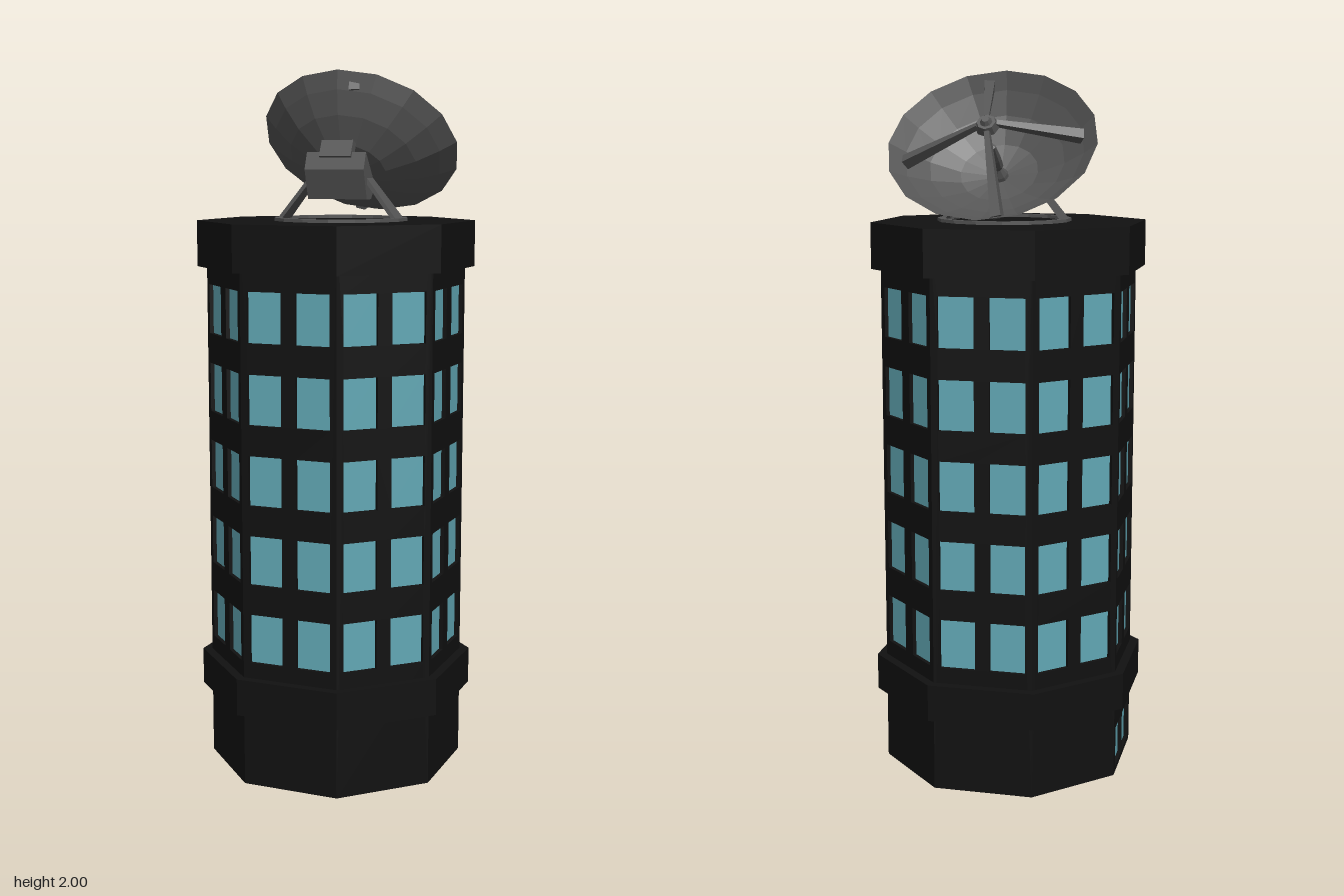
import * as THREE from 'three';

const material = (color, side = THREE.FrontSide) =>
  new THREE.MeshStandardMaterial({ color, flatShading: true, side });
const wallMat = material(0x111111);
const glassMat = material(0x62a8b5);
const metalMat = material(0x555555);
const bowlMat = material(0x555555, THREE.DoubleSide);

const APOTHEM = 0.34, RECESS = 0.012, ROOF = 1.58;
const HALF_SIDE = APOTHEM * Math.tan(Math.PI / 8);

function add(parent, name, geometry, mat, x = 0, y = 0, z = 0) {
  const mesh = new THREE.Mesh(geometry, mat);
  mesh.name = name;
  mesh.position.set(x, y, z);
  parent.add(mesh);
  return mesh;
}

// Eight-sided block with a flat side to the front, given by apothem and height range
function octagon(parent, name, apothem, y0, y1) {
  const r = apothem / Math.cos(Math.PI / 8);
  const geo = new THREE.CylinderGeometry(r, r, y1 - y0, 8, 1, false, Math.PI / 8);
  return add(parent, name, geo, wallMat, 0, (y0 + y1) / 2, 0);
}

function rectangle(path, x0, y0, x1, y1) {
  path.moveTo(x0, y0);
  path.lineTo(x1, y0);
  path.lineTo(x1, y1);
  path.lineTo(x0, y1);
  path.closePath();
  return path;
}

// One side of the tower: a wall slab with openings and recessed panes
function towerSide(hasDoor) {
  const side = new THREE.Group();
  side.name = 'towerSide';
  const openings = [];
  for (let floor = 0; floor < 5; floor++) {
    const y = 0.36 + floor * 0.225;
    openings.push(['window', -0.121, y, -0.021, y + 0.14], ['window', 0.021, y, 0.121, y + 0.14]);
  }
  if (hasDoor) openings.push(['door', -0.115, 0.015, -0.002, 0.135], ['door', 0.002, 0.015, 0.115, 0.135]);

  const shape = rectangle(new THREE.Shape(), -HALF_SIDE, 0, HALF_SIDE, ROOF - 0.01);
  for (const [name, x0, y0, x1, y1] of openings) {
    shape.holes.push(rectangle(new THREE.Path(), x0, y0, x1, y1));
    add(side, name, new THREE.PlaneGeometry(x1 - x0, y1 - y0), glassMat,
      (x0 + x1) / 2, (y0 + y1) / 2, APOTHEM - RECESS + 0.001);
  }
  const slab = new THREE.ExtrudeGeometry(shape, { depth: RECESS, bevelEnabled: false });
  add(side, 'wall', slab, wallMat, 0, 0, APOTHEM - RECESS);
  return side;
}

// Tapered square bar between two points
function bar(parent, name, from, to, r0, r1) {
  const dir = to.clone().sub(from);
  const geo = new THREE.CylinderGeometry(r1, r0, dir.length(), 4, 1, false, Math.PI / 4);
  const mesh = add(parent, name, geo, metalMat);
  mesh.position.copy(from).add(to).multiplyScalar(0.5);
  mesh.quaternion.setFromUnitVectors(new THREE.Vector3(0, 1, 0), dir.normalize());
}

const lathe = (points, sides) =>
  new THREE.LatheGeometry(points.map(([r, y]) => new THREE.Vector2(r, y)), sides);

// Extrude an outline along its own z, centred
function prism(points, depth) {
  const shape = new THREE.Shape(points.map(([x, y]) => new THREE.Vector2(x, y)));
  return new THREE.ExtrudeGeometry(shape, { depth, bevelEnabled: false }).translate(0, 0, -depth / 2);
}

function createDish() {
  const dish = new THREE.Group();
  dish.name = 'dish';
  const R = 0.292, DEPTH = 0.14;
  const height = (r) => DEPTH * (r / R) ** 2;

  // Faceted bowl, a little shorter than wide
  const profile = [0, 0.11, 0.19, 0.25, R].map((r) => [r, height(r)]);
  add(dish, 'bowl', lathe(profile, 16), bowlMat).scale.z = 0.915;

  // Receiver hub held by four struts
  add(dish, 'receiverHub', new THREE.CylinderGeometry(0.026, 0.033, 0.022, 8), metalMat, 0, 0.213, 0);
  add(dish, 'receiverCap', new THREE.CylinderGeometry(0.01, 0.018, 0.012, 8), metalMat, 0, 0.229, 0);
  for (let i = 0; i < 4; i++) {
    const a = i * Math.PI / 2 + 0.2;
    const c = Math.cos(a), s = Math.sin(a);
    bar(dish, 'strut', new THREE.Vector3(0.245 * c, 0.115, -0.24 * s),
      new THREE.Vector3(0.025 * c, 0.213, -0.025 * s), 0.021, 0.01);
  }

  // Feed horn at the centre of the bowl
  const horn = [[0.026, 0], [0.022, 0.014], [0.01, 0.035], [0.017, 0.05], [0.016, 0.075], [0.009, 0.125], [0, 0.13]];
  add(dish, 'feedHorn', lathe(horn, 8), metalMat);

  dish.position.set(0, 1.704, -0.045);
  dish.rotation.x = -0.83;
  return dish;
}

function createAntenna() {
  const antenna = new THREE.Group();
  antenna.name = 'antenna';
  antenna.position.x = 0.017;
  antenna.add(createDish());

  // Turning ring on the roof
  const shape = new THREE.Shape(), hole = new THREE.Path();
  const ringPoints = (r) => Array.from({ length: 16 }, (_, i) => {
    const a = (i + 0.5) * Math.PI / 8;
    return new THREE.Vector2(r * Math.cos(a), r * Math.sin(a));
  });
  shape.setFromPoints(ringPoints(0.19));
  hole.setFromPoints(ringPoints(0.17));
  shape.holes.push(hole);
  const ring = new THREE.ExtrudeGeometry(shape, { depth: 0.009, bevelEnabled: false });
  add(antenna, 'roofRing', ring.rotateX(-Math.PI / 2), metalMat, 0, ROOF, 0.005);

  // Mount housing behind the bowl; its outline is drawn in (z, y)
  const housing = prism([[0.04, 1.77], [-0.032, 1.677], [0, 1.64], [0.033, 1.64], [0.058, 1.722]], 0.178);
  add(antenna, 'mountHousing', housing.rotateY(-Math.PI / 2), metalMat);
  const block = add(antenna, 'mountBlock', new THREE.BoxGeometry(0.095, 0.05, 0.025), metalMat, 0, 1.776, 0.031);
  block.rotation.x = -0.45;

  // Flat legs leaning in from the ring to the housing
  for (const s of [-1, 1]) {
    const leg = prism([[-0.03, 0], [0.037, 0], [0.026, 0.125], [-0.02, 0.125]], 0.014).rotateY(-Math.PI / 2);
    const p = leg.attributes.position;
    for (let i = 0; i < p.count; i++) p.setX(i, p.getX(i) + s * (0.177 - 0.8 * p.getY(i)));
    leg.computeVertexNormals();
    add(antenna, 'leg', leg, metalMat, 0, ROOF, 0.005);
  }
  return antenna;
}

export function createModel() {
  const model = new THREE.Group();
  model.name = 'towerWithDish';

  // Tower body and its two projecting bands
  octagon(model, 'core', APOTHEM - RECESS, 0, ROOF - 0.01);
  octagon(model, 'lowerBand', 0.365, 0.21, 0.315);
  octagon(model, 'roofBand', 0.365, 1.45, ROOF);
  for (let i = 0; i < 8; i++) {
    const side = towerSide(i === 6);
    side.rotation.y = i * Math.PI / 4;
    model.add(side);
  }

  model.add(createAntenna());
  return model;
}
